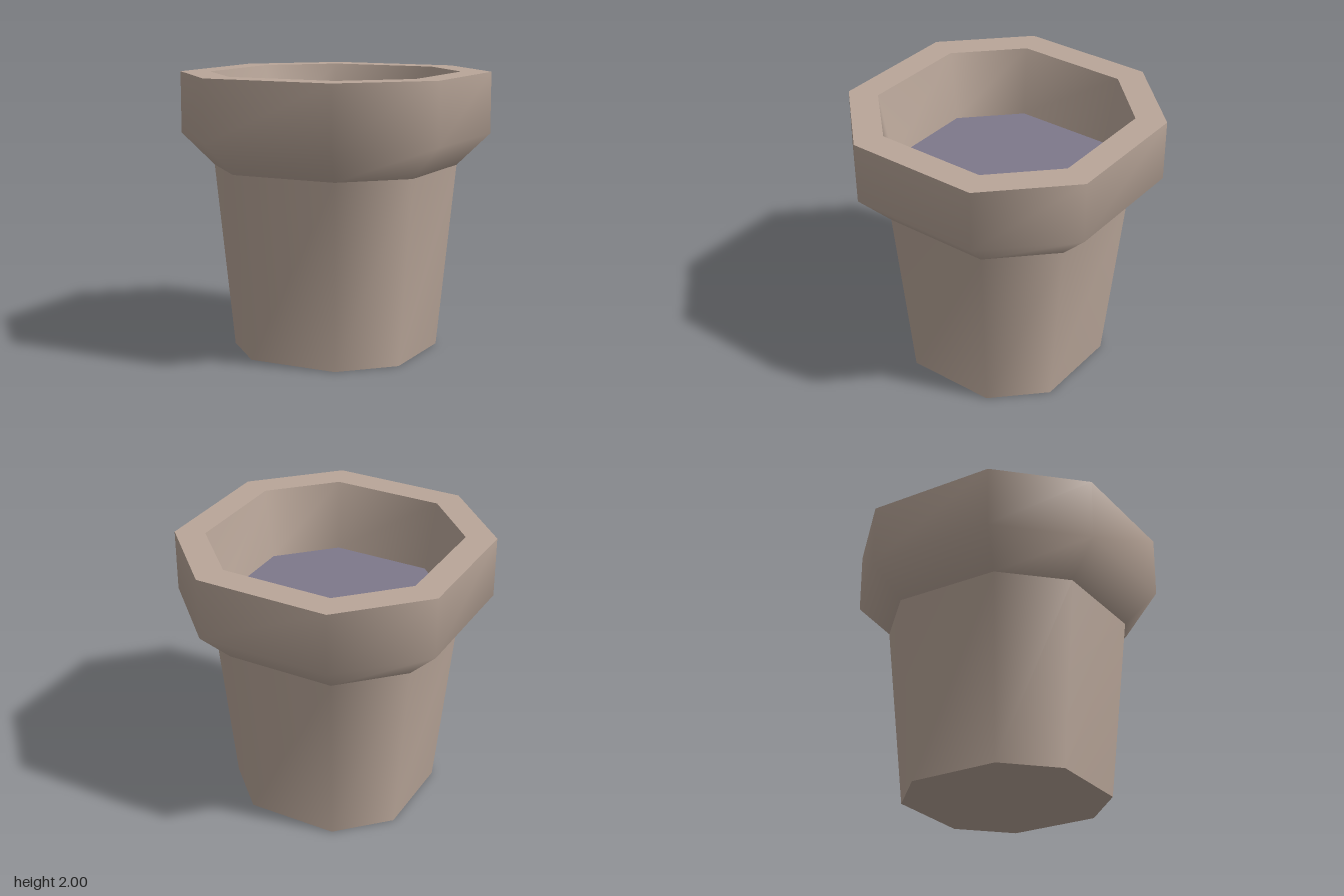
import * as THREE from 'three';

// Eight corners of a square of half-width h with cut corners; c is half the straight side
function ring([h, c, y]) {
  return [[h, c], [c, h], [-c, h], [-h, c], [-h, -c], [-c, -h], [c, -h], [h, -c]]
    .map(([x, z]) => [x, y, z]);
}

// Smooth skin through a list of rings; rings running upward face outward
function loft(sections) {
  const positions = sections.flatMap(ring).flat();
  const index = [];
  for (let s = 0; s < sections.length - 1; s++) {
    for (let i = 0; i < 8; i++) {
      const a = s * 8 + i, b = s * 8 + (i + 1) % 8;
      index.push(a, a + 8, b, b, a + 8, b + 8);
    }
  }
  const geometry = new THREE.BufferGeometry();
  geometry.setAttribute('position', new THREE.Float32BufferAttribute(positions, 3));
  geometry.setIndex(index);
  geometry.computeVertexNormals();
  return geometry;
}

// Flat octagon facing up or down
function cap([h, c, y], up) {
  const shape = new THREE.Shape(ring([h, c, y]).map(([x, , z]) => new THREE.Vector2(x, z)));
  const geometry = new THREE.ShapeGeometry(shape);
  geometry.rotateX(up ? -Math.PI / 2 : Math.PI / 2);
  geometry.translate(0, y, 0);
  return geometry;
}

export function createModel() {
  const clay = new THREE.MeshStandardMaterial({ color: 0xb9a699 });
  clay.name = 'clay';
  const soil = new THREE.MeshStandardMaterial({ color: 0x7e788b });
  soil.name = 'soil';

  const model = new THREE.Group();
  model.name = 'planter';
  const add = (name, geometry, material) => {
    const mesh = new THREE.Mesh(geometry, material);
    mesh.name = name;
    model.add(mesh);
  };

  const foot = [0.66, 0.33, 0];
  const neck = [0.78, 0.39, 1.33];
  const shoulder = [1, 0.48, 1.56];
  const rimOuter = [1, 0.48, 2];
  const rimInner = [0.8, 0.4, 2];
  const floor = [0.72, 0.36, 1.5];

  // Tapered pot and flared collar
  add('base', cap(foot, false), clay);
  add('body', loft([foot, neck]), clay);
  add('collar', loft([neck, shoulder, rimOuter]), clay);

  // Flat rim, sloping inner wall and filling
  add('rim', loft([rimOuter, rimInner]), clay);
  add('innerWall', loft([rimInner, floor]), clay);
  add('filling', cap(floor, true), soil);

  return model;
}
